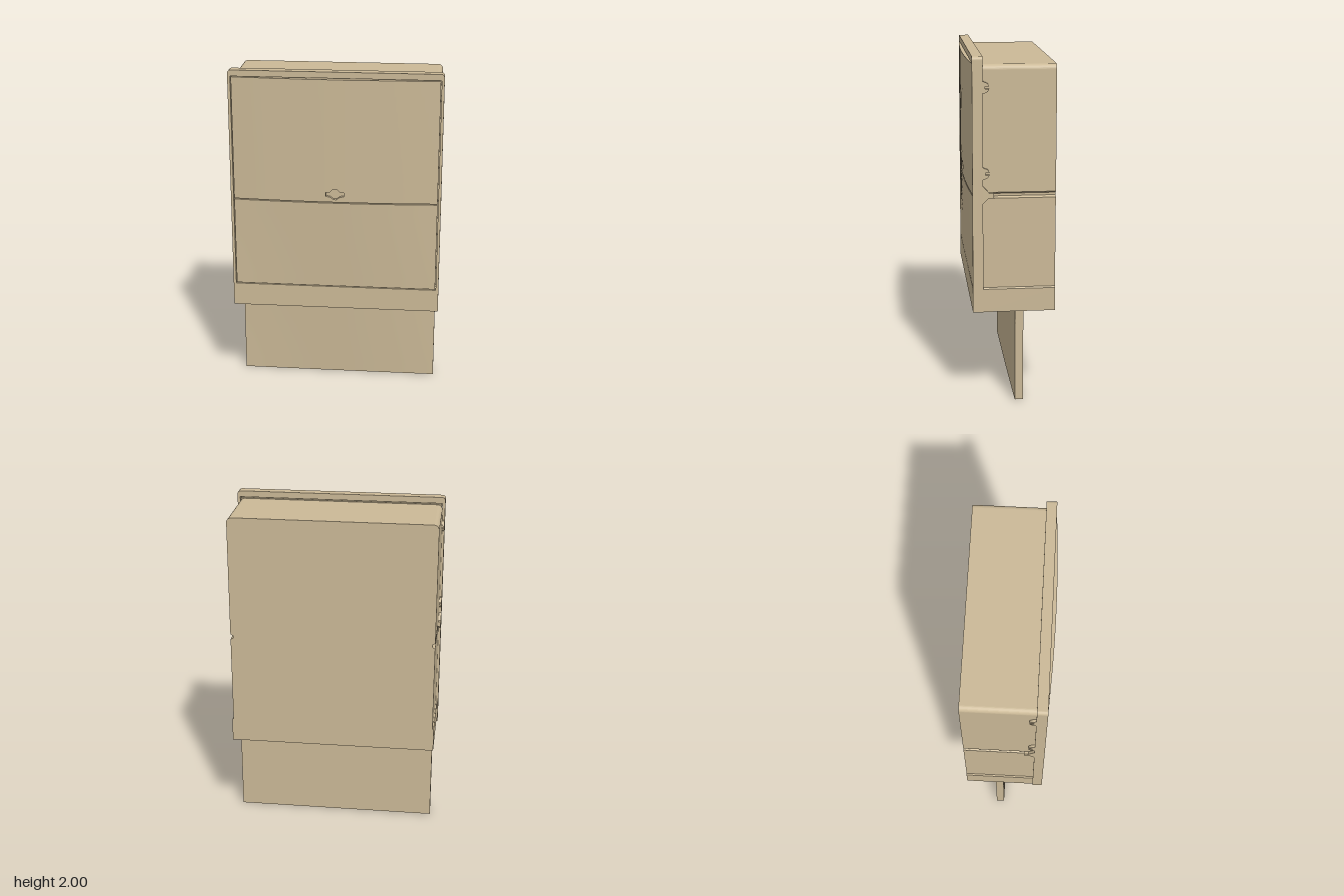
import * as THREE from 'three';

const HALF = 0.6; // half width of the curved panels

export function createModel() {
  const model = new THREE.Group();
  const material = new THREE.MeshStandardMaterial({ color: 0xcbb997 });

  const add = (name, geometry) => {
    const mesh = new THREE.Mesh(geometry, material);
    mesh.name = name;
    model.add(mesh);
  };
  const shapeOf = (points) => new THREE.Shape(points.map(([x, y]) => new THREE.Vector2(x, y)));
  const extrude = (shape, z0, z1) =>
    new THREE.ExtrudeGeometry(shape, { depth: z1 - z0, bevelEnabled: false, curveSegments: 8 }).translate(0, 0, z0);

  // Slab whose front bows out across its width; the bow eases from b0 (bottom) to b1 (top)
  const bow = (x) => 1 - (x / HALF) ** 2;
  function bowedSlab(x0, x1, y0, y1, back, edge, b0, b1) {
    const g = new THREE.BoxGeometry(x1 - x0, y1 - y0, edge - back, 24, 8, 1);
    g.translate((x0 + x1) / 2, (y0 + y1) / 2, (back + edge) / 2);
    const p = g.attributes.position;
    for (let i = 0; i < p.count; i++) {
      if (p.getZ(i) < (back + edge) / 2) continue;
      const t = (p.getY(i) - y0) / (y1 - y0);
      p.setZ(i, edge + bow(p.getX(i)) * (b0 + (b1 - b0) * t));
    }
    g.computeVertexNormals();
    return g;
  }

  // Housing: side grooves, wider base band, rounded top corners
  const body = new THREE.Shape();
  body.moveTo(-0.613, 0.545);
  body.lineTo(0.613, 0.545);
  body.lineTo(0.613, 0.68);
  body.lineTo(0.605, 0.688);
  body.lineTo(0.605, 1.208);
  body.lineTo(0.588, 1.218);
  body.lineTo(0.588, 1.232);
  body.lineTo(0.605, 1.242);
  body.lineTo(0.605, 1.925);
  body.absarc(0.575, 1.925, 0.03, 0, Math.PI / 2);
  body.absarc(-0.575, 1.925, 0.03, Math.PI / 2, Math.PI);
  body.lineTo(-0.605, 1.242);
  body.lineTo(-0.588, 1.232);
  body.lineTo(-0.588, 1.218);
  body.lineTo(-0.605, 1.208);
  body.lineTo(-0.605, 0.688);
  body.lineTo(-0.613, 0.68);
  add('housing', extrude(body, -0.245, 0.165));

  // Front frame with an opening for the panels
  const frame = new THREE.Shape();
  frame.moveTo(-0.62, 0.545);
  frame.lineTo(0.62, 0.545);
  frame.lineTo(0.62, 1.98);
  frame.absarc(0.6, 1.98, 0.02, 0, Math.PI / 2);
  frame.absarc(-0.6, 1.98, 0.02, Math.PI / 2, Math.PI);
  frame.holes.push(shapeOf([[-0.604, 0.683], [-0.604, 1.964], [0.604, 1.964], [0.604, 0.683]]));
  add('frontFrame', extrude(frame, 0.165, 0.224));

  // Lower panel, flat at its foot and bowed at its head
  add('lowerPanel', bowedSlab(-HALF, HALF, 0.688, 1.222, 0.165, 0.222, 0.002, 0.022));

  // Upper panel in three columns, the middle one pierced for the latch
  const W = 0.06, Y0 = 1.228, Y1 = 1.96;
  add('upperPanelRight', bowedSlab(-HALF, -W, Y0, Y1, 0.165, 0.222, 0.022, 0.022));
  add('upperPanelLeft', bowedSlab(W, HALF, Y0, Y1, 0.165, 0.222, 0.022, 0.022));
  const latch = [
    [-0.055, 1.262], [-0.03, 1.26], [-0.008, 1.244], [0.008, 1.244], [0.03, 1.26], [0.055, 1.262],
    [0.055, 1.287], [0.03, 1.289], [0.015, 1.304], [-0.015, 1.304], [-0.03, 1.289], [-0.055, 1.287],
  ];
  const middle = shapeOf([[-W, Y0], [W, Y0], [W, Y1], [-W, Y1]]);
  middle.holes.push(shapeOf(latch));
  add('upperPanelMiddle', extrude(middle, 0.165, 0.2438));
  add('latchRecessFloor', extrude(shapeOf(latch), 0.165, 0.225));

  // Hanging plate below the housing
  add('hangingPlate', bowedSlab(-HALF, HALF, 0, 0.545, -0.065, -0.017, 0.002, 0.022));

  // Side fittings, drawn in (z, y) and turned onto each flank
  const onFlanks = (name, shape) => {
    for (const side of [1, -1]) {
      const g = extrude(shape, 0, 0.04).rotateY(-Math.PI / 2);
      add(name + (side > 0 ? 'Left' : 'Right'), g.translate(side > 0 ? 0.62 : -0.58, 0, 0));
    }
  };
  onFlanks('grooveTab', shapeOf([
    [0.17, 1.175], [0.17, 1.285], [0.13, 1.24], [0.105, 1.24], [0.105, 1.21], [0.135, 1.21],
  ]));
  for (const y of [1.83, 1.35]) {
    const hook = new THREE.Shape();
    hook.moveTo(0.17, y - 0.034);
    hook.lineTo(0.17, y + 0.034);
    hook.lineTo(0.158, y + 0.034);
    hook.absarc(0.158, y, 0.03, Math.PI / 2, Math.PI * 0.93);
    hook.lineTo(0.152, y + 0.007);
    hook.lineTo(0.152, y - 0.007);
    hook.absarc(0.158, y, 0.03, Math.PI * 1.07, Math.PI * 1.5);
    onFlanks('hingeHook', hook);
  }
  return model;
}
